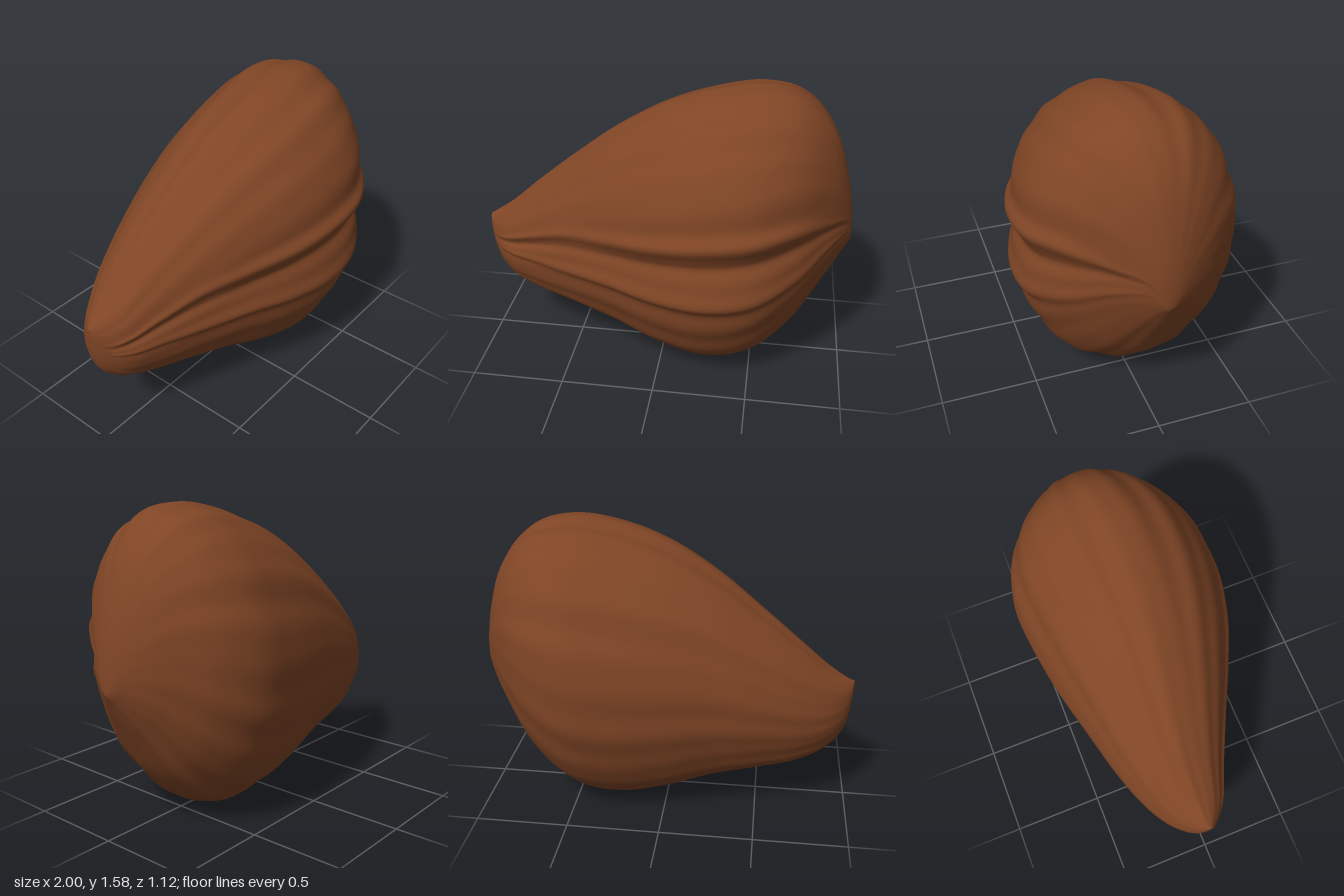
import * as THREE from 'three';

// Lengthwise stations at x = -cos(k * 15 deg):
// [top y, bottom y, back z, front z, upper lip y, lower lip y]
const STATIONS = [
  [0.735, 0.735, -0.02, -0.02, 0.735, 0.735],
  [0.755, 0.48, -0.11, 0.04, 0.645, 0.6],
  [0.82, 0.35, -0.21, 0.12, 0.66, 0.575],
  [0.955, 0.27, -0.30, 0.19, 0.72, 0.58],
  [1.125, 0.215, -0.375, 0.285, 0.80, 0.59],
  [1.31, 0.15, -0.44, 0.395, 0.85, 0.60],
  [1.46, 0.055, -0.505, 0.50, 0.89, 0.59],
  [1.55, 0.005, -0.55, 0.553, 0.93, 0.59],
  [1.585, 0.06, -0.56, 0.53, 0.96, 0.62],
  [1.535, 0.25, -0.475, 0.405, 0.98, 0.70],
  [1.36, 0.505, -0.31, 0.225, 0.95, 0.80],
  [1.06, 0.685, -0.14, 0.075, 0.90, 0.83],
  [0.76, 0.76, -0.02, -0.02, 0.76, 0.76],
];

// Smooth interpolation between stations, s in 0..1
function sample(s) {
  const n = STATIONS.length - 1;
  const k = Math.min(Math.floor(s * n), n - 1);
  const f = s * n - k;
  return STATIONS[k].map((p1, c) => {
    const p2 = STATIONS[k + 1][c];
    const p0 = k > 0 ? STATIONS[k - 1][c] : 2 * p1 - p2;
    const p3 = k + 2 <= n ? STATIONS[k + 2][c] : 2 * p2 - p1;
    return p1 + 0.5 * f * (p2 - p0 + f * (2 * p0 - 5 * p1 + 4 * p2 - p3 + f * (3 * (p1 - p2) + p3 - p0)));
  });
}

const bump = (u, centre, width) => Math.exp(-(((u - centre) / width) ** 2));

// Raised lips on both sides of a sunken crease; u = 0 upper lip, u = 1 lower lip
function crease(u) {
  return -0.05 * bump(u, 0.5, 0.85) + 0.06 * (bump(u, 0, 0.15) + bump(u, 1, 0.15))
    - 0.075 * bump(u, 0.36, 0.2) + 0.012 * bump(u, 0.28, 0.05);
}

// Shallow lengthwise ribs
function ribs(a, s) {
  return 0.007 * Math.sin(13 * a + 2 * s) + 0.005 * Math.sin(21 * a + 1 - 3 * s)
    + 0.004 * Math.sin(8 * a + 4 * s);
}

function seedGeometry(rings = 110, sides = 240) {
  const positions = [];
  const index = [];
  const clampAsin = (v) => Math.asin(THREE.MathUtils.clamp(v, -0.95, 0.95));
  for (let i = 0; i <= rings; i++) {
    const s = i / rings;
    const [top, bottom, back, front, upper, lower] = sample(s);
    const cy = (top + bottom) / 2, ry = (top - bottom) / 2;
    const cz = (front + back) / 2, rz = (front - back) / 2;
    const aUp = ry > 1e-4 ? clampAsin((upper - cy) / ry) : 0.2;
    const aLow = ry > 1e-4 ? clampAsin((lower - cy) / ry) : -0.2;
    const span = Math.max(aUp - aLow, 0.15);
    const fade = Math.min(1, Math.sin(Math.PI * s) * 1.8);
    for (let j = 0; j < sides; j++) {
      const a = -Math.PI + (j / sides) * Math.PI * 2;
      const r = 1 + fade * (crease((aUp - a) / span) + ribs(a, s));
      positions.push(-Math.cos(Math.PI * s), cy + ry * r * Math.sin(a), cz + rz * r * Math.cos(a));
      if (i === rings) continue;
      const p = i * sides + j, q = i * sides + ((j + 1) % sides);
      if (i < rings - 1) index.push(p, p + sides, q + sides);
      if (i > 0) index.push(p, q + sides, q);
    }
  }
  const geometry = new THREE.BufferGeometry();
  geometry.setAttribute('position', new THREE.Float32BufferAttribute(positions, 3));
  geometry.setIndex(index);
  geometry.computeVertexNormals();
  geometry.computeBoundingBox();
  geometry.translate(0, -geometry.boundingBox.min.y, 0);
  return geometry;
}

export function createModel() {
  const group = new THREE.Group();
  group.name = 'seed';
  const brown = new THREE.MeshStandardMaterial({ color: 0x7f4525 });
  brown.name = 'brown shell';
  const shell = new THREE.Mesh(seedGeometry(), brown);
  shell.name = 'creasedShell';
  group.add(shell);
  return group;
}
